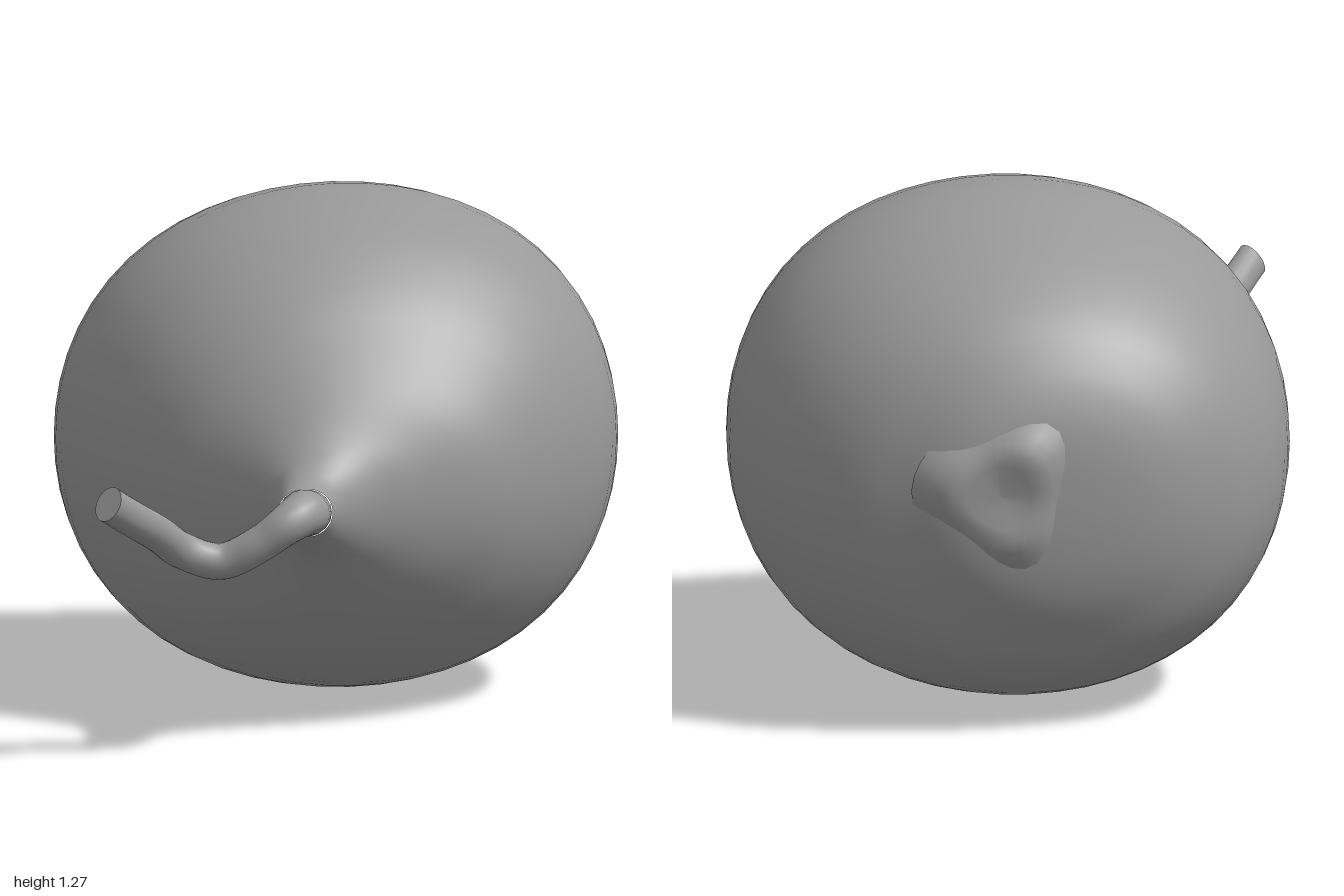
import * as THREE from 'three';

const material = new THREE.MeshStandardMaterial({ color: 0x999999 });
const V = (x, y, z) => new THREE.Vector3(x, y, z);

// Skin over elliptical rings { c: centre, t: direction, rx, ry }; full swells the diagonals
function loft(rings, sides, full = 0) {
  const pos = [], index = [];
  for (const { c, t, rx, ry } of rings) {
    const side = V(0, 1, 0).cross(t).normalize();
    const up = t.clone().cross(side).normalize();
    for (let j = 0; j < sides; j++) {
      const a = (j / sides) * Math.PI * 2;
      const s = 1 + full * Math.sin(2 * a) ** 2;
      const p = c.clone().addScaledVector(side, s * rx * Math.cos(a)).addScaledVector(up, s * ry * Math.sin(a));
      pos.push(p.x, p.y, p.z);
    }
  }
  for (let i = 0; i < rings.length - 1; i++) {
    for (let j = 0; j < sides; j++) {
      const k = (j + 1) % sides;
      const a = i * sides + j, b = i * sides + k, c = a + sides, d = b + sides;
      index.push(a, b, c, b, d, c);
    }
  }
  const g = new THREE.BufferGeometry();
  g.setAttribute('position', new THREE.Float32BufferAttribute(pos, 3));
  g.setIndex(index);
  g.computeVertexNormals();
  return g;
}

function named(name, geometry) {
  const m = new THREE.Mesh(geometry, material);
  m.name = name;
  return m;
}

// Fruit: cross-sections from back to neck [z, xMin, xMax, yMin, yMax]
function fruit() {
  const keys = [
    [-0.978, 0.08, 0.08, 0.64, 0.64],
    [-0.972, -0.08, 0.21, 0.51, 0.76],
    [-0.95, -0.21, 0.32, 0.385, 0.865],
    [-0.9, -0.325, 0.42, 0.275, 0.97],
    [-0.8, -0.455, 0.58, 0.14, 1.085],
    [-0.6, -0.575, 0.72, 0.04, 1.195],
    [-0.3, -0.625, 0.779, 0.004, 1.273],
    [0, -0.56, 0.72, 0.06, 1.225],
    [0.2, -0.455, 0.575, 0.17, 1.105],
    [0.32, -0.35, 0.44, 0.275, 0.97],
    [0.4, -0.278, 0.32, 0.37, 0.865],
    [0.46, -0.24, 0.15, 0.45, 0.77],
    [0.5, -0.235, 0.025, 0.49, 0.725],
    [0.55, -0.238, -0.065, 0.525, 0.69],
    [0.6, -0.245, -0.105, 0.55, 0.672],
  ];
  const curve = (f) => new THREE.CatmullRomCurve3(keys.map(f), false, 'catmullrom', 0.5);
  const centres = curve(([z, a, b, c, d]) => V((a + b) / 2, (c + d) / 2, z));
  const radii = curve(([z, a, b, c, d]) => V((b - a) / 2, (d - c) / 2, z));
  const rings = [], n = (keys.length - 1) * 4;
  for (let i = 0; i <= n; i++) {
    const r = radii.getPoint(i / n);
    rings.push({ c: centres.getPoint(i / n), t: V(0, 0, 1), rx: r.x, ry: r.y });
  }
  return loft(rings, 56, 0.02);
}

// Stem: leaves the neck, twists sideways, then runs out to a slanted cut end
function stem() {
  const path = new THREE.CatmullRomCurve3([
    V(-0.175, 0.611, 0.6), V(-0.188, 0.62, 0.645), V(-0.235, 0.602, 0.685), V(-0.31, 0.55, 0.68),
    V(-0.4, 0.507, 0.655), V(-0.5, 0.54, 0.66), V(-0.57, 0.595, 0.725), V(-0.66, 0.66, 0.85), V(-0.744, 0.722, 0.965),
  ]);
  const cut = V(-0.7, 0.45, 0.5).normalize();
  const rings = [], n = 48;
  for (let i = 0; i <= n; i++) {
    const u = i / n;
    const neck = Math.max(0, 1 - u / 0.2);
    const flare = THREE.MathUtils.smoothstep(u, 0.7, 1);
    rings.push({
      c: path.getPointAt(u),
      t: i === 0 ? V(0, 0, 1) : path.getTangentAt(u).lerp(cut, flare).normalize(),
      rx: 0.043 + 0.0255 * neck - 0.003 * flare,
      ry: 0.046 + 0.015 * neck,
    });
  }
  const tip = rings[n];
  rings.push({ ...tip }, { ...tip, rx: 0, ry: 0 });
  return loft(rings, 18);
}

// Blossom scar: low, uneven rim with a shallow sunken middle
function scar() {
  const profile = [[0, 0.008], [0.04, 0.01], [0.08, 0.018], [0.11, 0.022], [0.14, 0.012], [0.17, -0.012], [0.21, -0.045]];
  const g = new THREE.LatheGeometry(profile.map(([r, h]) => new THREE.Vector2(r, h)), 36);
  const p = g.attributes.position;
  for (let i = 0; i < p.count; i++) {
    const x = p.getX(i), z = p.getZ(i), r = Math.hypot(x, z), a = Math.atan2(z, x);
    const s = 1 + 0.06 * Math.sin(3 * a + 1);
    p.setXYZ(i, x * s, p.getY(i) + r * r * 0.5 * Math.sin(3 * a + 0.5), z * s);
  }
  g.computeVertexNormals();
  return g;
}

export function createModel() {
  const group = new THREE.Group();
  group.name = 'gourd';
  const mark = named('blossomScar', scar());
  mark.material = material.clone();
  mark.material.side = THREE.DoubleSide;
  mark.position.set(0.2, 0.65, -0.966);
  mark.quaternion.setFromUnitVectors(V(0, 1, 0), V(0.13, 0, -1).normalize());
  group.add(named('fruit', fruit()), named('stem', stem()), mark);
  return group;
}
